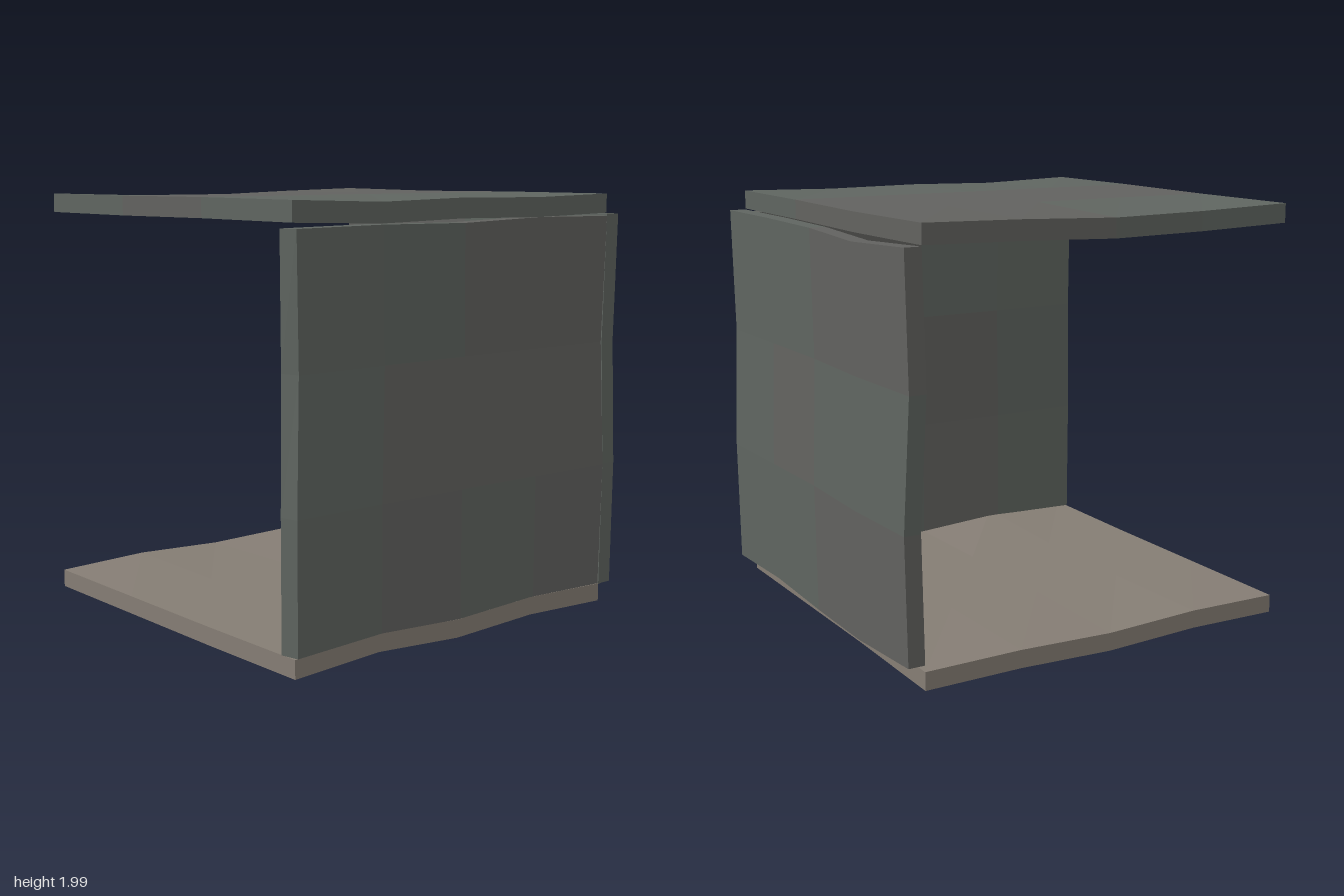
import * as THREE from 'three';

const AXES = ['x', 'y', 'z'];

const makeMaterial = (name, color) => {
  const m = new THREE.MeshStandardMaterial({ color, flatShading: true });
  m.name = name;
  return m;
};

// A rough-hewn slab: a segmented box between min and max.
// waves: [moved axis, along axis, offsets at the grid lines, side (-1, 0 both, 1), side axis]
// tints: [column axis, row axis, rows of material indices]
function slab(name, min, max, segs, waves, materials, tints) {
  const size = max.map((v, i) => v - min[i]);
  const geo = new THREE.BoxGeometry(...size, ...segs).toNonIndexed();
  geo.translate(...max.map((v, i) => (v + min[i]) / 2));
  const pos = geo.attributes.position;
  const unit = (p, a) => (p[a] - min[a]) / size[a];

  // Sort the cells into colours before bending
  geo.clearGroups();
  for (let i = 0; i < pos.count; i += 3) {
    let index = 0;
    if (tints) {
      const c = [0, 1, 2].map(a => (pos.array[i * 3 + a] + pos.array[i * 3 + 3 + a] + pos.array[i * 3 + 6 + a]) / 3);
      const [ca, ra, rows] = tints;
      const col = Math.min(segs[ca] - 1, Math.max(0, Math.floor(unit(c, ca) * segs[ca])));
      const row = Math.min(segs[ra] - 1, Math.max(0, Math.floor(unit(c, ra) * segs[ra])));
      index = Number(rows[row][col]);
    }
    geo.addGroup(i, 3, index);
  }

  // Bend the edges and faces
  for (let i = 0; i < pos.count; i++) {
    const p = AXES.map((_, a) => pos.array[i * 3 + a]);
    const q = p.slice();
    for (const [axis, along, offsets, side = 0, sideAxis = axis] of waves) {
      const u = unit(p, sideAxis);
      if (side && Math.abs(u - (side > 0 ? 1 : 0)) > 0.01) continue;
      q[axis] += offsets[Math.round(unit(p, along) * segs[along])];
    }
    pos.setXYZ(i, ...q);
  }
  geo.computeVertexNormals();
  const mesh = new THREE.Mesh(geo, materials);
  mesh.name = name;
  return mesh;
}

export function createModel() {
  const grey = makeMaterial('stoneGrey', 0x62625f);
  const green = makeMaterial('mossGrey', 0x5f6560);
  const brown = makeMaterial('floorBrown', 0x857d74);
  const stone = [grey, green];
  const X = 0, Y = 1, Z = 2;

  const group = new THREE.Group();
  group.name = 'openRoom';
  group.add(
    // Floor
    slab('floor', [-0.985, 0.015, -0.945], [0.9, 0.1, 0.945], [4, 1, 3], [
      [Y, X, [0.005, 0.025, -0.005, 0.015, 0], 1, Z],
      [Y, X, [0, 0.01, -0.01, 0, -0.01], -1, Z],
      [Z, X, [0, -0.01, -0.01, -0.005, 0.005]],
    ], [brown]),
    // Ceiling
    slab('ceiling', [-0.985, 1.895, -0.945], [0.9, 1.985, 0.94], [4, 1, 3], [
      [Y, X, [0.01, -0.005, 0.005, 0, 0.01], 1, Z],
      [Y, X, [0.005, -0.01, -0.015, 0, 0.01], -1, Z],
      [Y, Z, [0, 0.005, 0.01, 0]],
      [Z, X, [-0.005, 0.005, -0.005, 0.005, 0]],
    ], stone, [X, Z, ['1100', '0000', '1111']]),
    // Front wall, its left end slanting in toward the front
    slab('frontWall', [-0.99, 0.1, 0.86], [0.9, 1.885, 0.945], [4, 3, 1], [
      [X, Y, [0.02, 0.02, 0.025, 0.02], 1, Z],
      [X, Y, [0, -0.005, 0.012, 0]],
      [Y, X, [0.005, 0.02, -0.005, 0, -0.005], -1],
      [Y, X, [-0.005, 0, -0.005, 0.01, 0.005], 1],
      [Z, X, [0, -0.01, -0.01, -0.005, 0]],
      [Z, Y, [0, 0.005, -0.01, 0]],
    ], stone, [X, Y, ['1010', '1000', '1100']]),
    // Side wall
    slab('sideWall', [0.9, 0.1, -0.945], [0.98, 1.895, 0.945], [1, 3, 4], [
      [X, Z, [0, 0.008, -0.01, -0.006, 0]],
      [X, Y, [0, 0.008, -0.01, 0]],
      [Y, Z, [0.02, 0, -0.01, 0.01, 0], -1],
      [Y, Z, [0.005, -0.015, 0, 0.005, 0.005], 1],
      [Z, Y, [0.005, 0.015, -0.01, 0], -1],
      [Z, Y, [0.005, 0.005, -0.005, 0], 1],
    ], stone, [Z, Y, ['0011', '1101', '0011']]),
  );
  return group;
}
